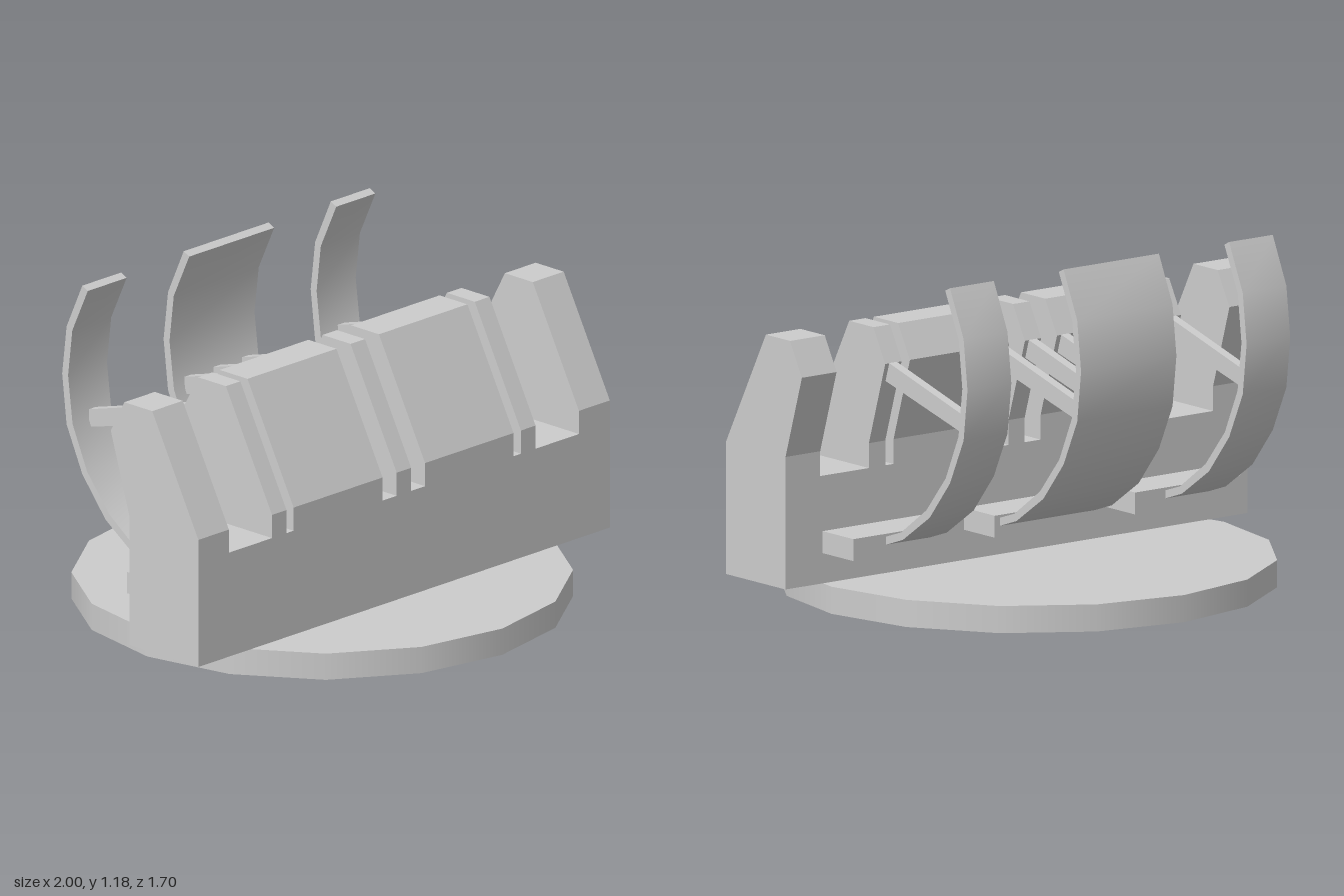
import * as THREE from 'three';
import { toCreasedNormals } from 'three/addons/utils/BufferGeometryUtils.js';

const grey = new THREE.MeshStandardMaterial({ color: 0xcccccc, side: THREE.DoubleSide });
grey.name = 'lightGrey';

const UP = new THREE.Vector3(0, 1, 0);
const DOWN = new THREE.Vector3(0, -1, 0);
const FRONT = new THREE.Vector3(0, 0, 1);

// Leaves a solid open on the sides facing the given directions
function openSides(geometry, directions) {
  const source = geometry.index ? geometry.toNonIndexed() : geometry;
  const { position, normal } = source.attributes;
  const points = [], normals = [];
  const triangle = new THREE.Triangle(), facing = new THREE.Vector3();
  for (let i = 0; i < position.count; i += 3) {
    triangle.setFromAttributeAndIndices(position, i, i + 1, i + 2).getNormal(facing);
    if (directions.some((d) => d.dot(facing) > 0.99)) continue;
    points.push(...position.array.slice(i * 3, i * 3 + 9));
    normals.push(...normal.array.slice(i * 3, i * 3 + 9));
  }
  const shell = new THREE.BufferGeometry();
  shell.setAttribute('position', new THREE.Float32BufferAttribute(points, 3));
  shell.setAttribute('normal', new THREE.Float32BufferAttribute(normals, 3));
  return shell;
}

// Extrudes a side profile of [z, y] points from x0 to x1
function slab(profile, x0, x1) {
  const shape = new THREE.Shape(profile.map(([z, y]) => new THREE.Vector2(z, y)));
  const geometry = new THREE.ExtrudeGeometry(shape, { depth: x1 - x0, bevelEnabled: false });
  return geometry.rotateY(-Math.PI / 2).translate(x1, 0, 0);
}

export function createModel() {
  const model = new THREE.Group();

  const add = (name, geometry) => {
    const mesh = new THREE.Mesh(geometry, grey);
    mesh.name = name;
    model.add(mesh);
    return mesh;
  };

  const baseTop = 0.094, floor = 0.467, front = 0.387, back = 0.062;

  // Round base plate, hollow underneath
  const disc = new THREE.CylinderGeometry(0.85, 0.85, baseTop, 16);
  add('basePlate', openSides(disc, [DOWN])).position.y = baseTop / 2;

  // Lower body walls, open below and above
  const wall = [[front, baseTop], [front, floor], [back, floor], [back, baseTop]];
  add('lowerBody', openSides(slab(wall, -1, 1), [UP, DOWN]));

  // Upright blocks with a bent outline, and the slot floors between them
  const upright = [
    [front, floor], [front, 0.55], [0.169, 0.959], [0.037, 0.959],
    [-0.027, 0.842], [back, 0.553], [back, floor],
  ];
  const blocks = [
    ['endPost', -1, -0.852], ['narrowTooth', -0.642, -0.572], ['wideBlock', -0.537, -0.105],
    ['centreTooth', -0.036, 0.034], ['wideBlock', 0.102, 0.532], ['narrowTooth', 0.568, 0.639],
    ['endPost', 0.85, 1],
  ];
  blocks.forEach(([name, x0, x1], i) => {
    add(name, openSides(slab(upright, x0, x1), [DOWN]));
    if (i === blocks.length - 1) return;
    const next = blocks[i + 1][1];
    const plate = new THREE.PlaneGeometry(next - x1, front - back).rotateX(-Math.PI / 2);
    add('slotFloor', plate).position.set((x1 + next) / 2, floor, (front + back) / 2);
  });

  // Ledges on the back that carry the curved panels, hollow underneath
  const ledge = [[back, 0.199], [back, 0.275], [-0.106, 0.275], [-0.106, 0.199]];
  for (const [x0, x1] of [[-0.84, -0.38], [-0.228, 0.228], [0.38, 0.84]]) {
    add('rearLedge', openSides(slab(ledge, x0, x1), [DOWN, FRONT]));
  }

  // Curved rear panels: outer edge going up, inner edge going down
  const curve = [
    [-0.105, 0.237], [-0.197, 0.269], [-0.343, 0.37], [-0.453, 0.507],
    [-0.527, 0.667], [-0.548, 0.845], [-0.527, 1.019], [-0.453, 1.183],
    [-0.427, 1.17], [-0.5, 1.011], [-0.52, 0.845], [-0.499, 0.676],
    [-0.43, 0.521], [-0.325, 0.393], [-0.187, 0.293], [-0.105, 0.265],
  ];
  for (const [x0, x1] of [[-0.7, -0.511], [-0.207, 0.206], [0.508, 0.698]]) {
    add('curvedPanel', toCreasedNormals(slab(curve, x0, x1), 0.6));
  }

  // Sloping struts from the uprights to the panels
  const strut = [[-0.026, 0.843], [-0.498, 0.709], [-0.495, 0.647], [-0.006, 0.778]];
  for (const x of [-0.605, -0.14, 0, 0.14, 0.605]) add('strut', slab(strut, x - 0.017, x + 0.017));

  return model;
}
